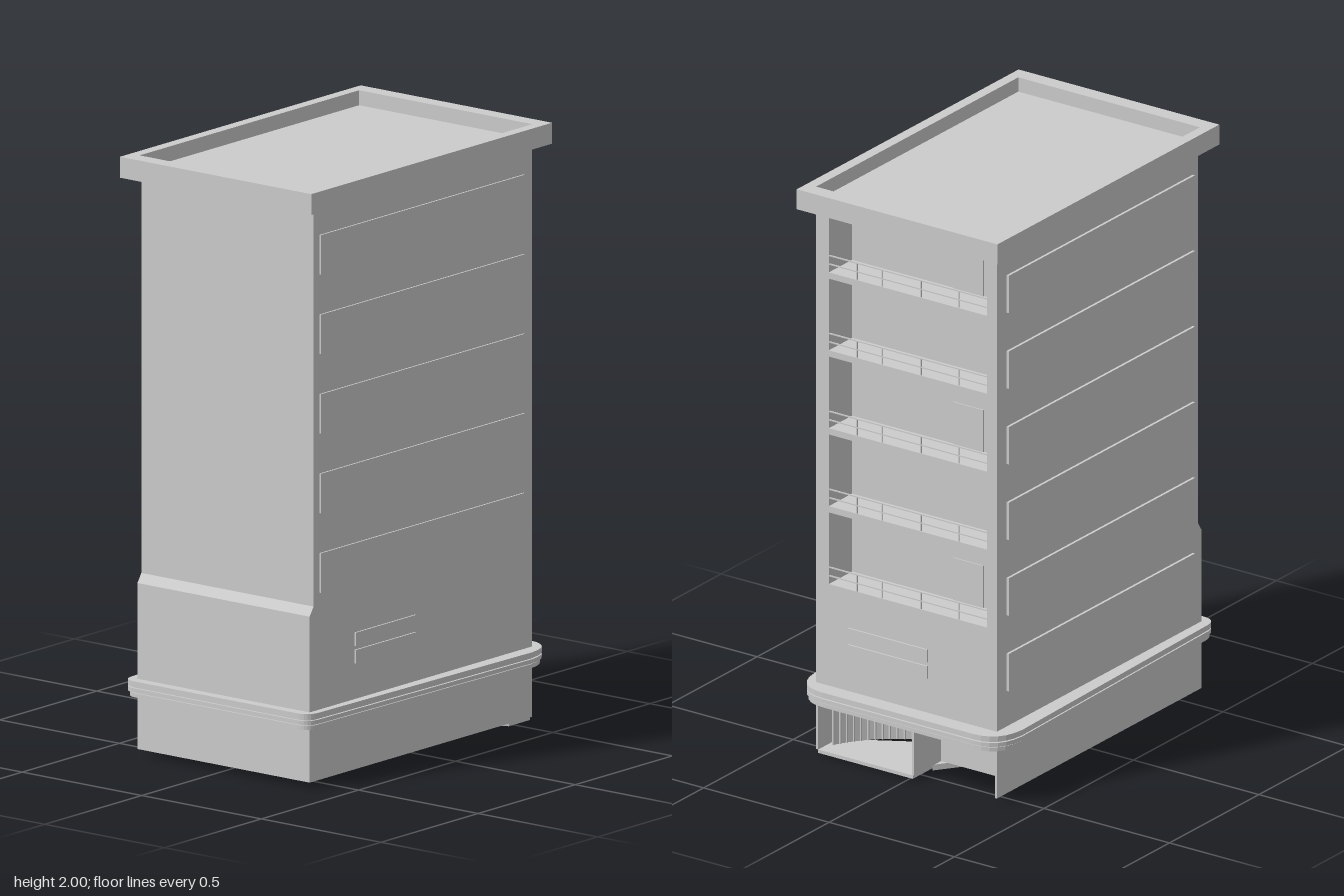
import * as THREE from 'three';

const grey = new THREE.MeshStandardMaterial({ color: 0xcccccc, flatShading: true, side: THREE.DoubleSide });

export function createModel() {
  const root = new THREE.Group();
  root.name = 'apartmentBlock';

  const add = (name, geo) => {
    const m = new THREE.Mesh(geo, grey);
    m.name = name;
    root.add(m);
    return m;
  };
  // Box given by its limits on each axis
  const box = (name, x0, x1, y0, y1, z0, z1) => add(name,
    new THREE.BoxGeometry(x1 - x0, y1 - y0, z1 - z0).translate((x0 + x1) / 2, (y0 + y1) / 2, (z0 + z1) / 2));
  // Horizontal plate from an outline of [x, z] points, with an optional hole
  const toShape = (pts, C = THREE.Shape) => new C(pts.map(([x, z]) => new THREE.Vector2(x, -z)));
  const plate = (name, shape, y0, y1) => add(name,
    new THREE.ExtrudeGeometry(shape, { depth: y1 - y0, bevelEnabled: false, curveSegments: 6 })
      .rotateX(-Math.PI / 2).translate(0, y0, 0));
  const rect = (x, z) => [[-x, -z], [x, -z], [x, z], [-x, z]];

  // Tower: solid core, with side walls framing the balcony recess
  const L = -0.565, R = 0.56, F = 0.365, B = -0.355, inner = 0.43, side = 0.315;
  box('towerCore', L, inner, 0.25, 1.935, B, F);
  box('lowerEndWall', inner, R, 0.25, 0.59, B, F);
  box('frontSideWall', inner, R, 0.59, 1.935, side, F);
  box('backSideWall', inner, R, 0.59, 1.935, B, -side);

  // Thickened lower wall on the closed end, with a chamfered top
  const chamfer = new THREE.Shape([[L, 0.25], [-0.585, 0.25], [-0.585, 0.575], [L, 0.605]]
    .map(p => new THREE.Vector2(...p)));
  add('thickLowerWall', new THREE.ExtrudeGeometry(chamfer, { depth: F - B, bevelEnabled: false }).translate(0, 0, B));

  // Roof with a raised rim
  const rim = toShape(rect(0.62, 0.4));
  rim.holes.push(toShape(rect(0.565, 0.362), THREE.Path));
  plate('roofRim', rim, 1.93, 2);
  plate('roofDeck', toShape(rect(0.566, 0.363)), 1.93, 1.95);

  // Balconies: slab, two rails and posts
  for (let i = 0; i < 5; i++) {
    const y = 0.59 + i * 0.274;
    box('balconyFloor', inner, R, y, y + 0.022, -side, side);
    for (const h of [0.048, 0.078]) box('balconyRail', R - 0.006, R - 0.002, y + h, y + h + 0.004, -side, side);
    for (const z of [-0.2, -0.05, 0.105, 0.205])
      box('balconyPost', R - 0.006, R - 0.002, y + 0.02, y + 0.08, z - 0.002, z + 0.002);
    if (i % 2 === 0) box('balconyDoor', inner, inner + 0.004, y + 0.022, y + 0.17, -0.21, -0.09);
  }

  // Raised bands on the long faces, six at the back and five at the front
  for (let i = 0; i < 6; i++) {
    const y = 1.71 - i * 0.266;
    box('backBand', -0.535, 0.505, y, y + 0.132, B - 0.009, B);
    if (i < 5) box('frontBand', -0.535, 0.515, y, y + 0.132, F, F + 0.006);
  }

  // Paired vent strips low on the front and the open end
  for (const y of [0.375, 0.433]) {
    box('frontVent', -0.355, -0.045, y, y + 0.045, F, F + 0.006);
    box('endVent', R, R + 0.006, y, y + 0.045, -0.08, 0.235);
  }

  // Canopy ring: rounded and slightly tapered, in stacked tiers
  const canopyShape = (d) => {
    const s = new THREE.Shape();
    s.moveTo(-0.575, -0.39 + d);
    s.lineTo(0.5, -0.415 + d);
    s.quadraticCurveTo(0.62 - d, -0.405 + d, 0.62 - d, -0.3);
    s.lineTo(0.62 - d, 0.3);
    s.quadraticCurveTo(0.62 - d, 0.405 - d, 0.5, 0.413 - d);
    s.lineTo(-0.575, 0.39 - d);
    s.quadraticCurveTo(-0.62 + d, 0.385 - d, -0.62 + d, 0.34);
    s.lineTo(-0.62 + d, -0.34);
    s.quadraticCurveTo(-0.62 + d, -0.385 + d, -0.575, -0.39 + d);
    return s;
  };
  [[0.006, 0.2, 0.214], [0.012, 0.214, 0.218], [0, 0.218, 0.232], [0.008, 0.232, 0.236], [0, 0.236, 0.255]]
    .forEach(([d, y0, y1]) => plate('canopyTier', canopyShape(d), y0, y1));

  // Hollow podium, open below and on the entrance end
  const t = 0.008;
  box('podiumFrontWall', -0.585, R, 0.02, 0.2, F - t, F);
  box('podiumBackWall', -0.585, R, 0.02, 0.2, B, B + t);
  box('podiumEndWall', -0.585, -0.585 + t, 0.02, 0.2, B, F);

  // Entrance: partition, recessed wall, slatted curved screen and floor
  box('entrancePartition', 0.25, R, 0.02, 0.2, -0.024, -0.016);
  box('recessedWall', 0.4, 0.408, 0.02, 0.2, B, -0.02);
  const curve = new THREE.QuadraticBezierCurve3(
    new THREE.Vector3(0.5, 0, 0.34), new THREE.Vector3(0.3, 0, 0.24), new THREE.Vector3(0.25, 0, -0.02));
  const pts = curve.getPoints(18);
  const screen = new THREE.PlaneGeometry(1, 0.18, 18, 1);
  const pos = screen.attributes.position;
  for (let i = 0; i < pos.count; i++) {
    const p = pts[i % 19];
    pos.setXYZ(i, p.x, pos.getY(i) + 0.11, p.z);
  }
  screen.computeVertexNormals();
  add('curvedScreen', screen);
  pts.forEach(p => box('screenMullion', p.x - 0.003, p.x + 0.003, 0.02, 0.2, p.z - 0.003, p.z + 0.003));

  plate('entranceFloor', toShape([[R, F - t], [R, -0.02], [0.45, -0.02], [0.3, -0.13],
    [0.14, -0.13], [0.05, -0.02], [0.3, 0.1], [0.45, F - t]]), 0.008, 0.02);
  plate('entranceRamp', toShape([[0.45, -0.02], [0.3, -0.13], [0.14, -0.13], [0.05, -0.02]]), 0, 0.008);

  return root;
}
